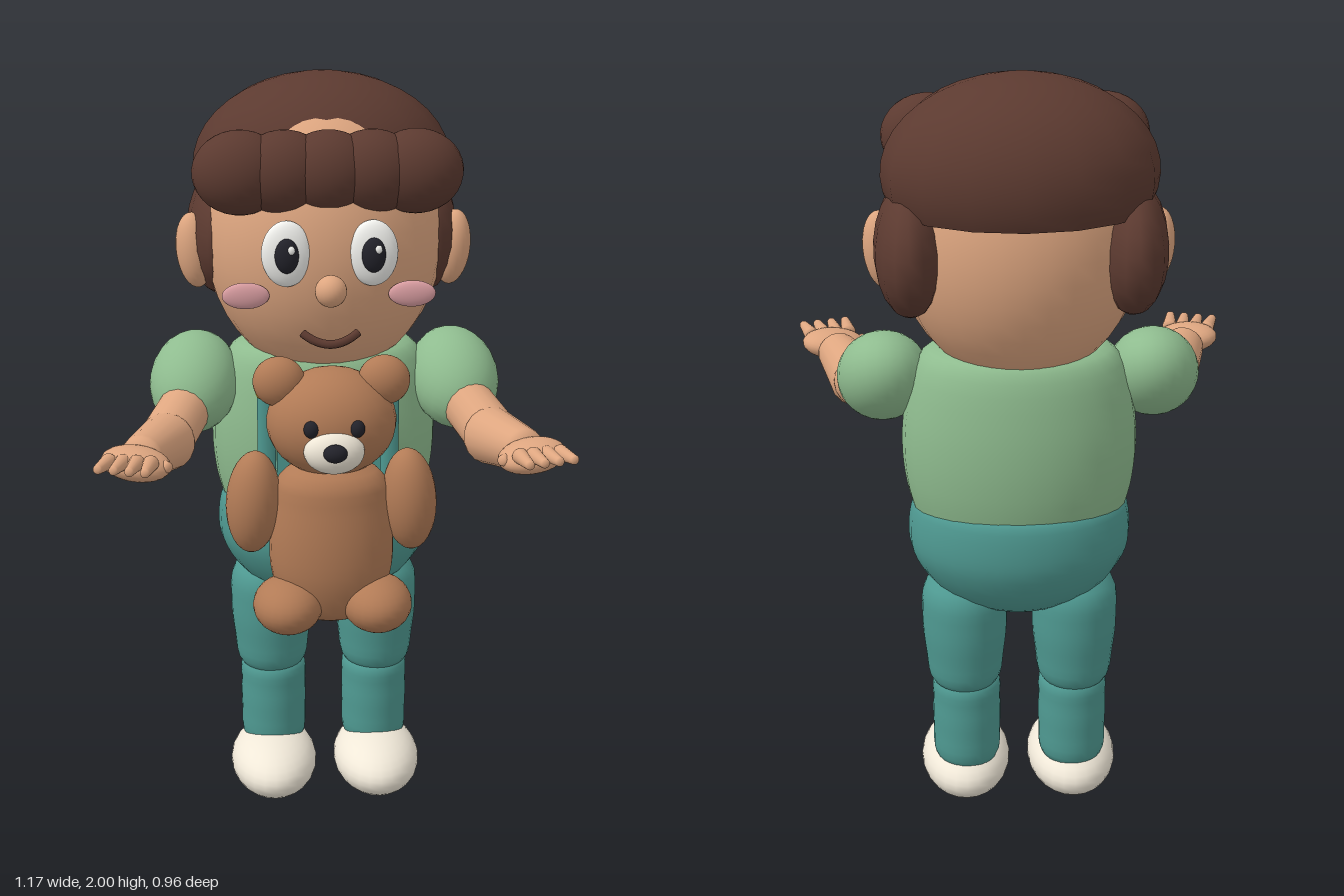
import * as THREE from 'three';

const mats = {};
const mat = (c) => (mats[c] ??= new THREE.MeshStandardMaterial({ color: c, side: THREE.DoubleSide }));
const HAIR = 0x5c3a30, SKIN = 0xdea680, SHIRT = 0x8fbc8f, TEAL = 0x4f9a92, BEAR = 0xb27b56;
const CREAM = 0xf0e8d8, WHITE = 0xf4f4f0, DARK = 0x22222a, PINK = 0xdda0a4, GOLD = 0xe0b040;

export function createModel() {
  const model = new THREE.Group();
  const group = (name) => {
    const g = new THREE.Group();
    g.name = name;
    model.add(g);
    return g;
  };
  const add = (parent, name, geo, color, pos = [0, 0, 0]) => {
    const m = new THREE.Mesh(geo, mat(color));
    m.name = name;
    m.position.set(...pos);
    parent.add(m);
    return m;
  };
  // Ellipsoid with three radii
  const ball = (parent, name, color, pos, radii, rot = [0, 0, 0], seg = 24) => {
    const m = add(parent, name, new THREE.SphereGeometry(1, seg, Math.round(seg * 0.7)), color, pos);
    m.scale.set(...radii);
    m.rotation.set(...rot);
    return m;
  };
  // Turned shape from [radius, y] points, squashed in x and z
  const turned = (parent, name, color, pts, pos, sx = 1, sz = 1) => {
    const curve = new THREE.SplineCurve(pts.map((p) => new THREE.Vector2(...p)));
    const profile = curve.getPoints(20).map((p) => new THREE.Vector2(Math.max(p.x, 0), p.y));
    const m = add(parent, name, new THREE.LatheGeometry(profile, 28), color, pos);
    m.scale.set(sx, 1, sz);
    return m;
  };
  // Rounded limb between two points, tapering from r0 to r1
  const limb = (parent, name, color, a, b, r0, r1) => {
    const from = new THREE.Vector3(...a), dir = new THREE.Vector3(...b).sub(from), len = dir.length();
    const pts = [];
    for (let i = 0; i <= 6; i++) {
      const t = (i / 6) * Math.PI / 2;
      pts.push(new THREE.Vector2(r0 * Math.sin(t), -r0 * 0.6 * Math.cos(t)));
    }
    for (let i = 0; i <= 6; i++) {
      const t = (i / 6) * Math.PI / 2;
      pts.push(new THREE.Vector2(Math.max(r1 * Math.cos(t), 0), len + r1 * 0.6 * Math.sin(t)));
    }
    const m = add(parent, name, new THREE.LatheGeometry(pts, 18), color, a);
    m.quaternion.setFromUnitVectors(new THREE.Vector3(0, 1, 0), dir.normalize());
    return m;
  };

  // Torso
  const body = group('body');
  turned(body, 'shirt', SHIRT,
    [[0.9, 0.86], [0.97, 0.94], [1, 1.04], [0.97, 1.15], [0.86, 1.27], [0.62, 1.31], [0, 1.32]], [0, 0, -0.167], 0.3, 0.213);
  turned(body, 'trousers', TEAL,
    [[0, 0.56], [0.4, 0.59], [0.75, 0.65], [0.95, 0.73], [1, 0.8], [0.96, 0.88], [0.85, 0.9]], [0, 0, -0.16], 0.288, 0.225);
  add(body, 'bib', new THREE.BoxGeometry(0.27, 0.25, 0.02), TEAL, [0, 1.0, 0.07]);

  // Head and face
  const head = group('head');
  ball(head, 'skull', SKIN, [0, 1.585, -0.155], [0.312, 0.37, 0.287], [0, 0, 0], 32);
  ball(head, 'nose', SKIN, [0, 1.515, 0.162], [0.04, 0.04, 0.04]);
  const smile = new THREE.QuadraticBezierCurve3(
    new THREE.Vector3(-0.07, 1.402, 0.138), new THREE.Vector3(0, 1.352, 0.178), new THREE.Vector3(0.07, 1.402, 0.138));
  add(head, 'mouth', new THREE.TubeGeometry(smile, 16, 0.011, 8), HAIR);

  // Hair: cap, row of fringe curls
  const hair = group('hair');
  const cap = add(hair, 'hairCap',
    new THREE.SphereGeometry(1, 16, 12, 0, Math.PI * 2, 0, Math.PI * 0.61), HAIR, [0, 1.76, -0.222]);
  cap.scale.set(0.338, 0.24, 0.262);
  for (let i = -2; i <= 2; i++)
    ball(hair, 'fringeCurl', HAIR, [i * 0.11, 1.79, 0.05 - Math.abs(i) * 0.004], [0.12, 0.106, 0.09]);

  const bear = group('teddyBear');
  for (const s of [1, -1]) {
    const side = s > 0 ? 'left' : 'right';
    // Eyes, cheeks, ears and side hair
    ball(head, side + 'Eye', WHITE, [s * 0.108, 1.6, 0.115], [0.063, 0.084, 0.028]);
    ball(head, side + 'Pupil', DARK, [s * 0.108, 1.6, 0.14], [0.03, 0.044, 0.02]);
    ball(head, side + 'EyeGlint', WHITE, [s * 0.108 + 0.011, 1.618, 0.157], [0.009, 0.011, 0.006], [0, 0, 0], 10);
    ball(head, side + 'Cheek', PINK, [s * 0.21, 1.487, 0.088], [0.06, 0.034, 0.014]);
    ball(head, side + 'Ear', SKIN, [s * 0.338, 1.55, -0.15], [0.048, 0.1, 0.048], [0, 0, -s * 0.1]);
    ball(hair, side + 'SideHair', HAIR, [s * 0.27, 1.58, -0.245], [0.088, 0.165, 0.2], [0, 0, 0], 16);

    // Brace with button
    add(body, side + 'Brace', new THREE.CapsuleGeometry(0.016, 0.28, 4, 10), TEAL, [s * 0.16, 1.12, 0.05]).scale.x = 1.5;
    ball(body, side + 'Button', GOLD, [s * 0.17, 1.225, 0.07], [0.018, 0.018, 0.014]);

    // Leg and shoe
    const leg = group(side + 'Leg');
    turned(leg, 'thigh', TEAL,
      [[0, 0.345], [0.085, 0.365], [0.104, 0.45], [0.112, 0.55], [0.1, 0.65], [0, 0.74]], [s * 0.145, 0, -0.172], 1, 1.1);
    turned(leg, 'shin', TEAL,
      [[0, 0.1], [0.08, 0.13], [0.09, 0.22], [0.09, 0.3], [0.082, 0.37], [0, 0.4]], [s * 0.142, 0, -0.17], 1, 1.1);
    ball(leg, 'shoe', CREAM, [s * 0.145, 0.085, -0.105], [0.12, 0.085, 0.193]);

    // Arm: puffed sleeve, upper arm, forearm, open hand
    const arm = group(side + 'Arm');
    ball(arm, 'sleeve', SHIRT, [s * 0.345, 1.205, -0.11], [0.118, 0.112, 0.152], [0.6, s * 0.12, 0]);
    limb(arm, 'upperArm', SKIN, [s * 0.36, 1.17, -0.04], [s * 0.413, 1.118, 0.08], 0.068, 0.07);
    limb(arm, 'forearm', SKIN, [s * 0.417, 1.112, 0.11], [s * 0.475, 1.13, 0.275], 0.075, 0.056);
    ball(arm, 'palm', SKIN, [s * 0.488, 1.135, 0.335], [0.088, 0.04, 0.072], [0, s * 0.3, s * 0.12]);
    for (let i = 0; i < 4; i++) {
      const x = 0.45 + i * 0.034;
      limb(arm, 'finger', SKIN, [s * x, 1.152, 0.385 - i * 0.007],
        [s * (x + 0.012 + i * 0.004), 1.156, 0.466 - i * 0.011], 0.02, 0.012);
    }
    limb(arm, 'thumb', SKIN, [s * 0.44, 1.13, 0.33], [s * 0.41, 1.135, 0.37], 0.022, 0.014);

    // Bear ears, eyes and limbs
    ball(bear, side + 'BearEar', BEAR, [s * 0.132, 1.292, 0.188], [0.066, 0.064, 0.05]);
    ball(bear, side + 'BearEye', DARK, [s * 0.057, 1.202, 0.303], [0.019, 0.022, 0.019]);
    ball(bear, side + 'BearArm', BEAR, [s * 0.2, 0.972, 0.188], [0.07, 0.136, 0.072], [0, 0, s * 0.06]);
    ball(bear, side + 'BearFoot', BEAR, [s * 0.115, 0.708, 0.24], [0.09, 0.073, 0.11]);
  }

  // Bear trunk and face
  turned(bear, 'bearBody', BEAR,
    [[0, 0.64], [0.1, 0.67], [0.15, 0.76], [0.16, 0.86], [0.148, 0.97], [0.125, 1.05], [0, 1.11]], [0, 0, 0.185], 1, 0.74);
  ball(bear, 'bearHead', BEAR, [0, 1.185, 0.185], [0.165, 0.14, 0.132]);
  ball(bear, 'bearMuzzle', CREAM, [0, 1.142, 0.3], [0.076, 0.057, 0.046]);
  ball(bear, 'bearNose', DARK, [0, 1.153, 0.347], [0.03, 0.023, 0.022]);
  return model;
}
